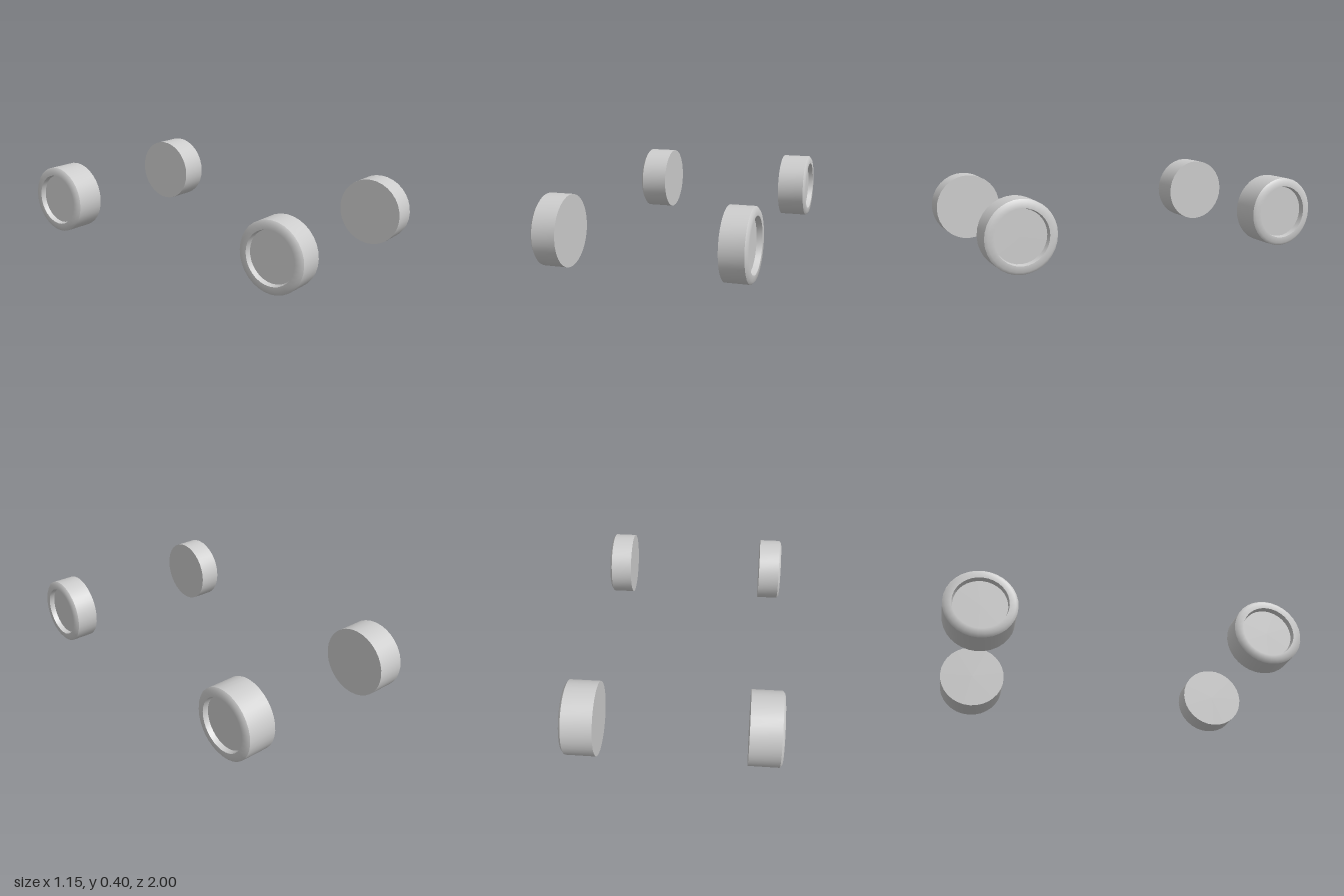
import * as THREE from 'three';
import { toCreasedNormals } from 'three/addons/utils/BufferGeometryUtils.js';

const SEGMENTS = 32;

// Solid wheel turned about its axle: flat inner face, chamfered rim, shallow recess outside.
// inner and outer are distances from the centre line of the model.
function wheelGeometry(radius, inner, outer) {
  const recess = radius * 0.76;
  const profile = [
    [0, inner],
    [radius, inner],
    [radius, outer - 0.012],
    [radius - 0.015, outer],
    [recess, outer],
    [recess - 0.005, outer - 0.03],
    [0, outer - 0.03],
  ].map(([r, d]) => new THREE.Vector2(r, d));
  const lathe = new THREE.LatheGeometry(profile, SEGMENTS);
  return toCreasedNormals(lathe, THREE.MathUtils.degToRad(45));
}

export function createModel() {
  const model = new THREE.Group();
  model.name = 'wheelSet';
  const material = new THREE.MeshStandardMaterial({ color: 0xcccccc });

  // The rear pair is slightly larger and wider than the front pair
  const axles = [
    { name: 'front', radius: 0.195, inner: 0.429, outer: 0.571, y: 0.197, z: 0.805 },
    { name: 'rear', radius: 0.2, inner: 0.398, outer: 0.575, y: 0.2, z: -0.8 },
  ];

  for (const { name, radius, inner, outer, y, z } of axles) {
    const geometry = wheelGeometry(radius, inner, outer);
    for (const side of [1, -1]) {
      const wheel = new THREE.Mesh(geometry, material);
      wheel.name = name + (side > 0 ? 'Left' : 'Right') + 'Wheel';
      wheel.rotation.z = -side * Math.PI / 2;
      wheel.position.set(0, y, z);
      model.add(wheel);
    }
  }
  return model;
}
